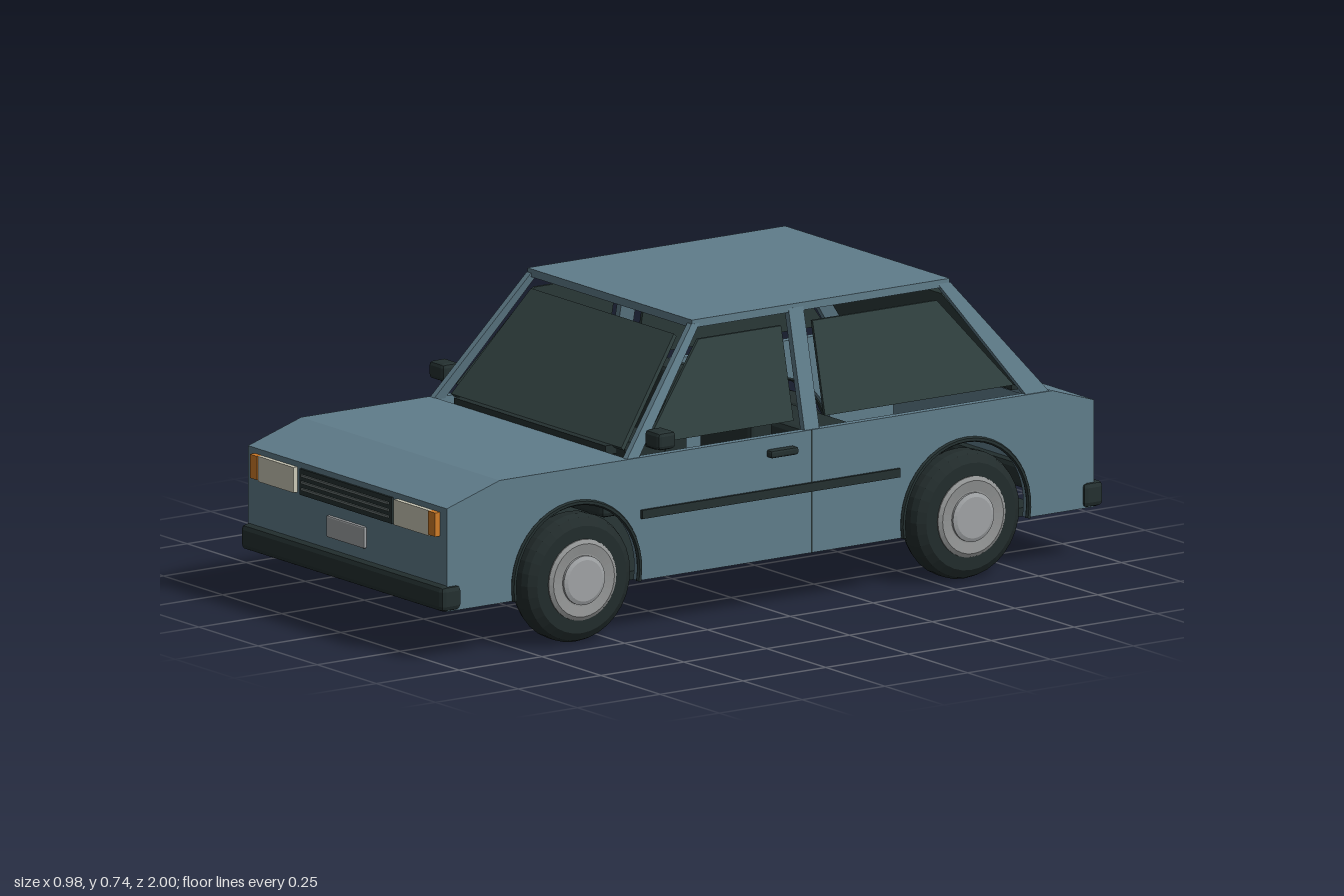
import * as THREE from 'three';
import { RoundedBoxGeometry } from 'three/addons/geometries/RoundedBoxGeometry.js';
import { ConvexGeometry } from 'three/addons/geometries/ConvexGeometry.js';

function material(name, color) {
  const m = new THREE.MeshStandardMaterial({ color, flatShading: true });
  m.name = name;
  return m;
}

export function createModel() {
  const car = new THREE.Group();
  car.name = 'car';
  const paint = material('blue grey paint', 0x607d8b);
  const glass = material('dark glass', 0x30403f);
  const trim = material('black trim', 0x243030);
  const rubber = material('tyre rubber', 0x222c2c);
  const lamp = material('headlight lens', 0xcccab8);
  const amber = material('amber lens', 0xd07c28);
  const red = material('red lens', 0xa02e28);
  const plate = material('plate grey', 0xa0a3a5);
  const rim = material('rim grey', 0x929494);
  const slat = material('slat grey', 0x66706f);

  function add(name, geometry, mat, x = 0, y = 0, z = 0) {
    const mesh = new THREE.Mesh(geometry, mat);
    mesh.name = name;
    mesh.position.set(x, y, z);
    car.add(mesh);
    return mesh;
  }
  // Box given by its minimum and maximum on each axis
  function box(name, mat, x0, x1, y0, y1, z0, z1) {
    return add(name, new THREE.BoxGeometry(Math.abs(x1 - x0), y1 - y0, z1 - z0), mat,
      (x0 + x1) / 2, (y0 + y1) / 2, (z0 + z1) / 2);
  }
  // Box with softened edges
  function soft(name, mat, x0, x1, y0, y1, z0, z1, r) {
    return add(name, new RoundedBoxGeometry(Math.abs(x1 - x0), y1 - y0, z1 - z0, 1, r), mat,
      (x0 + x1) / 2, (y0 + y1) / 2, (z0 + z1) / 2);
  }
  // Flat panel thickened along an offset
  function slab(name, mat, corners, offset) {
    const o = new THREE.Vector3(...offset);
    const pts = corners.flatMap(c => {
      const p = new THREE.Vector3(...c);
      return [p, p.clone().add(o)];
    });
    return add(name, new ConvexGeometry(pts), mat);
  }
  // Side-on outline in (z, y), extruded across x
  function across(name, mat, shape, x0, x1) {
    const g = new THREE.ExtrudeGeometry(shape, { depth: x1 - x0, bevelEnabled: false, curveSegments: 20 });
    g.rotateY(-Math.PI / 2);
    return add(name, g, mat, x1, 0, 0);
  }
  const outline = pts => new THREE.Shape(pts.map(p => new THREE.Vector2(...p)));

  // Hollow bonnet and boot shells
  across('bonnet', paint, outline([[0.98, 0.13], [0.98, 0.39], [0.82, 0.44], [0.43, 0.44],
    [0.43, 0.42], [0.815, 0.42], [0.96, 0.375], [0.96, 0.13]]), -0.4, 0.4);
  across('boot', paint, outline([[-0.975, 0.13], [-0.955, 0.13], [-0.955, 0.385], [-0.85, 0.42],
    [-0.815, 0.42], [-0.815, 0.44], [-0.85, 0.44], [-0.975, 0.4]]), -0.4, 0.4);

  // Side panels with wheel arches
  const wheelZ = [0.59, -0.585], wheelY = 0.163, archR = 0.19;
  const dip = Math.asin((wheelY - 0.13) / archR);
  const side = new THREE.Shape();
  side.moveTo(-0.975, 0.13);
  side.lineTo(-0.975, 0.4);
  side.lineTo(-0.85, 0.44);
  side.lineTo(0.82, 0.44);
  side.lineTo(0.98, 0.39);
  side.lineTo(0.98, 0.13);
  for (const z of wheelZ) side.absarc(z, wheelY, archR, -dip, Math.PI + dip, false);
  side.closePath();
  across('leftSidePanel', paint, side, 0.4, 0.42);
  across('rightSidePanel', paint, side, -0.42, -0.4);

  // Floor, roof and scuttles
  box('floor', trim, -0.325, 0.325, 0.108, 0.13, -0.88, 0.885);
  box('roof', paint, -0.348, 0.348, 0.725, 0.745, -0.59, 0.188);
  box('frontScuttle', trim, -0.32, 0.32, 0.432, 0.455, 0.395, 0.43);
  box('rearScuttle', trim, -0.33, 0.33, 0.432, 0.455, -0.815, -0.79);

  // Windscreen, rear window and rear wiper
  slab('windscreen', glass, [[-0.36, 0.455, 0.41], [0.36, 0.455, 0.41],
    [0.302, 0.705, 0.21], [-0.302, 0.705, 0.21]], [0, -0.008, -0.008]);
  slab('rearWindow', glass, [[-0.36, 0.455, -0.8], [0.36, 0.455, -0.8],
    [0.302, 0.705, -0.605], [-0.302, 0.705, -0.605]], [0, -0.008, 0.008]);
  const wiper = box('rearWiper', trim, -0.11, 0.11, 0.506, 0.514, -0.772, -0.758);
  wiper.rotation.x = 0.9;

  // Dashboard and seats
  box('dashboard', trim, -0.32, 0.32, 0.4, 0.455, 0.25, 0.37);
  for (const s of [-1, 1]) {
    soft('frontSeatBack', trim, s * 0.07, s * 0.29, 0.2, 0.52, -0.1, -0.03, 0.012);
    soft('frontSeatCushion', trim, s * 0.07, s * 0.29, 0.16, 0.24, -0.1, 0.16, 0.012);
  }
  soft('rearSeat', trim, -0.3, 0.3, 0.2, 0.33, -0.53, -0.38, 0.015);

  // Cabin sides lean inwards with height
  const cabinX = y => 0.416 - (y - 0.44) * 0.23;
  const lowY = 0.435, highY = 0.735;
  for (const s of [-1, 1]) {
    const pillar = (name, low, high) => slab(name, paint, [
      [s * cabinX(lowY), lowY, low[0]], [s * cabinX(lowY), lowY, low[1]],
      [s * cabinX(highY), highY, high[1]], [s * cabinX(highY), highY, high[0]]], [-s * 0.018, 0, 0]);
    pillar('frontPillar', [0.437, 0.4], [0.19, 0.165]);
    pillar('middlePillar', [-0.103, -0.148], [-0.103, -0.148]);
    pillar('rearPillar', [-0.845, -0.775], [-0.592, -0.555]);

    const pane = (name, low, high) => slab(name, glass, [
      [s * (cabinX(0.465) - 0.008), 0.465, low[0]], [s * (cabinX(0.465) - 0.008), 0.465, low[1]],
      [s * (cabinX(0.695) - 0.008), 0.695, high[1]], [s * (cabinX(0.695) - 0.008), 0.695, high[0]]],
    [-s * 0.008, 0, 0]);
    pane('frontSideWindow', [0.365, -0.08], [0.17, -0.08]);
    pane('rearSideWindow', [-0.175, -0.745], [-0.175, -0.55]);

    // Door fittings and mirror
    box('rubbingStrip', trim, s * 0.418, s * 0.428, 0.286, 0.308, -0.385, 0.395);
    box('doorSeam', trim, s * 0.419, s * 0.421, 0.13, 0.44, -0.123, -0.119);
    soft('doorHandle', trim, s * 0.415, s * 0.44, 0.388, 0.408, -0.07, 0.014, 0.006);
    soft('mirrorArm', trim, s * 0.41, s * 0.455, 0.462, 0.477, 0.345, 0.375, 0.004);
    soft('mirror', trim, s * 0.425, s * 0.488, 0.467, 0.512, 0.335, 0.388, 0.01);

    // Lamps at both ends
    box('headlight', lamp, s * 0.212, s * 0.362, 0.312, 0.376, 0.97, 0.992);
    box('frontIndicator', amber, s * 0.362, s * 0.392, 0.316, 0.376, 0.97, 0.995);
    box('tailLight', red, s * 0.21, s * 0.362, 0.312, 0.376, -0.99, -0.965);
    box('rearIndicator', amber, s * 0.362, s * 0.392, 0.312, 0.376, -0.99, -0.965);

    // Wheels and arch trims
    for (const z of wheelZ) {
      const wheel = new THREE.Group();
      wheel.name = 'wheel';
      const ring = (name, mat, pts) => {
        const g = new THREE.LatheGeometry(pts.map(p => new THREE.Vector2(...p)), 32);
        g.rotateZ(-Math.PI / 2);
        const m = new THREE.Mesh(g, mat);
        m.name = name;
        wheel.add(m);
      };
      ring('tyre', rubber, [[0, -0.045], [0.135, -0.045], [0.155, -0.032], [0.162, -0.015],
        [0.162, 0.015], [0.155, 0.032], [0.135, 0.045], [0.1, 0.045], [0.1, 0.035], [0, 0.035]]);
      ring('rim', rim, [[0.102, 0.03], [0.102, 0.048], [0.092, 0.054], [0.066, 0.05], [0, 0.05]]);
      ring('hubCap', plate, [[0.062, 0.045], [0.062, 0.056], [0.052, 0.06], [0, 0.06]]);
      wheel.position.set(s * 0.4, wheelY, z);
      if (s < 0) wheel.rotation.y = Math.PI;
      car.add(wheel);

      const arch = new THREE.TorusGeometry(archR, 0.007, 6, 24, Math.PI + 2 * dip);
      arch.rotateZ(-dip);
      arch.rotateY(-Math.PI / 2);
      add('archTrim', arch, trim, s * 0.423, wheelY, z);
    }
  }

  // Grille with slats
  box('grille', trim, -0.194, 0.194, 0.31, 0.376, 0.97, 0.986);
  for (const y of [0.326, 0.343, 0.36]) box('grilleSlat', slat, -0.185, 0.185, y - 0.003, y + 0.003, 0.98, 0.99);

  // Bumpers and number plates
  soft('frontBumper', trim, -0.428, 0.428, 0.13, 0.195, 0.938, 1, 0.014);
  soft('rearBumper', trim, -0.428, 0.428, 0.13, 0.195, -1, -0.938, 0.014);
  soft('frontPlate', plate, -0.08, 0.08, 0.225, 0.28, 0.975, 0.988, 0.004);
  soft('rearPlate', plate, -0.08, 0.08, 0.225, 0.28, -0.983, -0.97, 0.004);

  return car;
}
